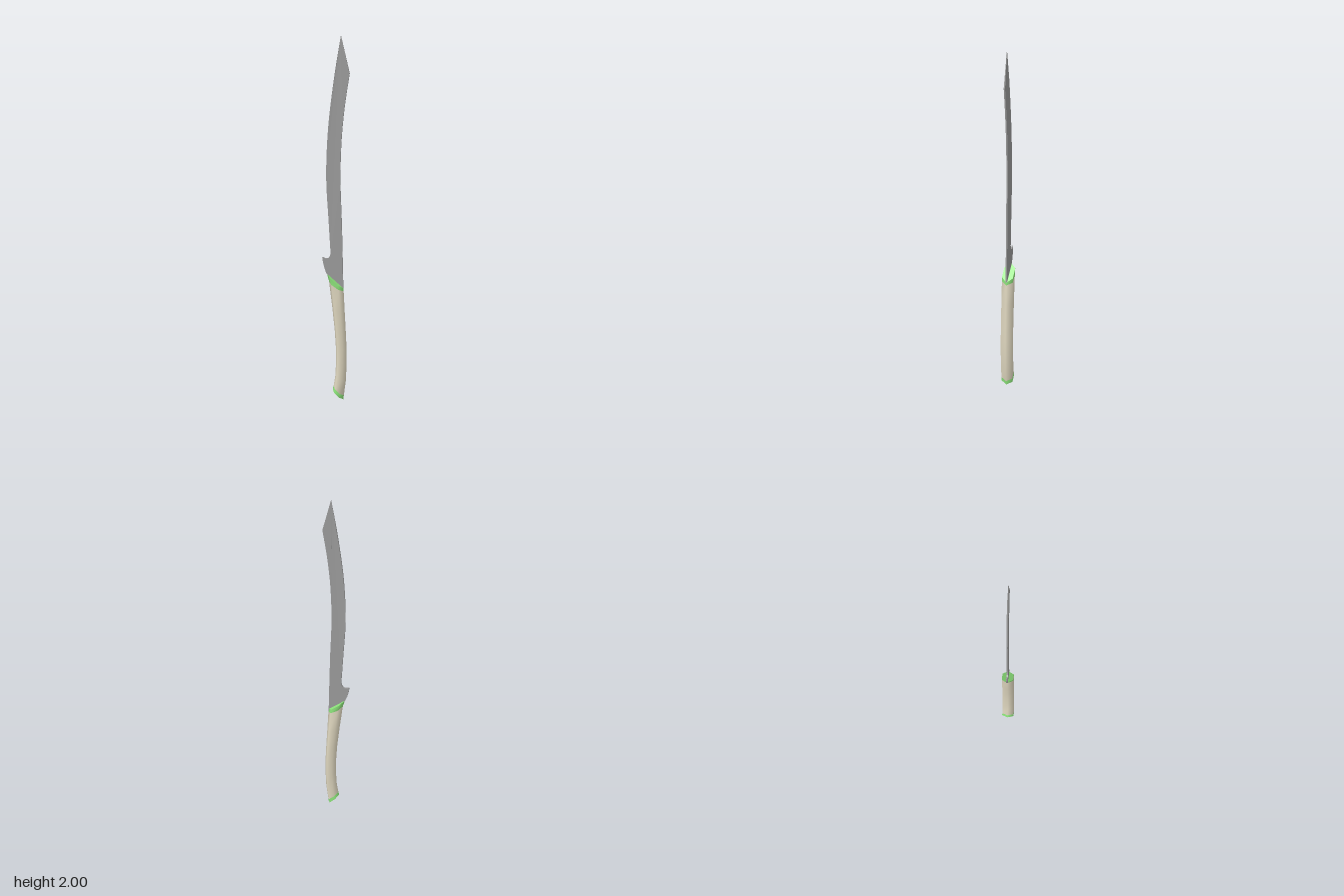
import * as THREE from 'three';

const paint = (color) => new THREE.MeshStandardMaterial({ color, side: THREE.DoubleSide });

// Hexagonal ring spanning a left and a right point, so it can slant
function hexRing([lx, ly, rx, ry], depth) {
  const ring = [];
  for (let i = 0; i < 6; i++) {
    const a = (i * Math.PI) / 3;
    const t = 0.5 + 0.5 * Math.cos(a);
    ring.push([lx + (rx - lx) * t, ly + (ry - ly) * t, (depth * Math.sin(a)) / 0.866]);
  }
  return ring;
}

// Smooth skin through a row of rings, listed from bottom to top
function skin(sections, depth) {
  const pos = sections.flatMap((s) => hexRing(s, depth).flat());
  const index = [];
  for (let r = 0; r < sections.length - 1; r++) {
    for (let i = 0; i < 6; i++) {
      const a = r * 6 + i, b = r * 6 + ((i + 1) % 6);
      index.push(a, a + 6, b, b, a + 6, b + 6);
    }
  }
  const g = new THREE.BufferGeometry();
  g.setAttribute('position', new THREE.Float32BufferAttribute(pos, 3));
  g.setIndex(index);
  g.computeVertexNormals();
  return g;
}

// Flat hexagonal end face
function endFace(section, depth, up) {
  const g = new THREE.BufferGeometry();
  g.setAttribute('position', new THREE.Float32BufferAttribute(hexRing(section, depth).flat(), 3));
  const index = [];
  for (let i = 1; i < 5; i++) index.push(0, ...(up ? [i + 1, i] : [i, i + 1]));
  g.setIndex(index);
  g.computeVertexNormals();
  return g;
}

// Flat blade with a hooked base, thinning to nothing at the point
function bladeGeometry() {
  const v = (list) => list.map(([x, y]) => new THREE.Vector2(x, y));
  const s = new THREE.Shape();
  s.moveTo(0.04, 0.6);
  s.splineThru(v([[0.032, 0.95], [0.024, 1.2], [0.03, 1.42], [0.048, 1.61], [0.075, 1.79]]));
  s.lineTo(0.027, 2);
  s.splineThru(v([[-0.013, 1.74], [-0.043, 1.48], [-0.053, 1.22], [-0.04, 0.98], [-0.029, 0.8]]));
  s.quadraticCurveTo(-0.035, 0.755, -0.075, 0.777);
  s.quadraticCurveTo(-0.068, 0.72, -0.05, 0.685);
  s.closePath();
  const g = new THREE.ExtrudeGeometry(s, { depth: 0.008, bevelEnabled: false, curveSegments: 5 });
  g.translate(0, 0, -0.004);
  const p = g.attributes.position;
  for (let i = 0; i < p.count; i++) {
    const k = Math.min(1, (2 - p.getY(i)) / 0.2);
    p.setZ(i, p.getZ(i) * Math.max(k, 0.02));
  }
  g.computeVertexNormals();
  return g;
}

export function createModel() {
  const model = new THREE.Group();
  const steel = paint(0x999999), grip = paint(0xe0d8c0), green = paint(0x8ee67c);
  const add = (parent, name, geometry, material) => {
    const mesh = new THREE.Mesh(geometry, material);
    mesh.name = name;
    parent.add(mesh);
  };

  add(model, 'blade', bladeGeometry(), steel);

  // Curved grip: left x, left y, right x, right y
  const low = [-0.013, 0.075, 0.043, 0.025];
  const high = [-0.038, 0.645, 0.042, 0.595];
  add(model, 'grip', skin([
    low, [-0.004, 0.13, 0.054, 0.105], [0, 0.2, 0.058, 0.19], [-0.001, 0.29, 0.058, 0.28],
    [-0.007, 0.38, 0.054, 0.37], [-0.02, 0.5, 0.048, 0.48], high,
  ], 0.03), grip);

  // Slanted collar and pommel bands
  const collarTop = [-0.05, 0.688, 0.042, 0.612];
  const collar = new THREE.Group();
  collar.name = 'collar';
  add(collar, 'collarBand', skin([high, collarTop], 0.03), green);
  add(collar, 'collarTop', endFace(collarTop, 0.03, true), green);

  const pommelEnd = [-0.018, 0.058, 0.04, 0.003];
  const pommel = new THREE.Group();
  pommel.name = 'pommel';
  add(pommel, 'pommelBand', skin([pommelEnd, low], 0.03), green);
  add(pommel, 'pommelEnd', endFace(pommelEnd, 0.03, false), green);

  model.add(collar, pommel);
  model.position.y = -0.003;
  return model;
}
